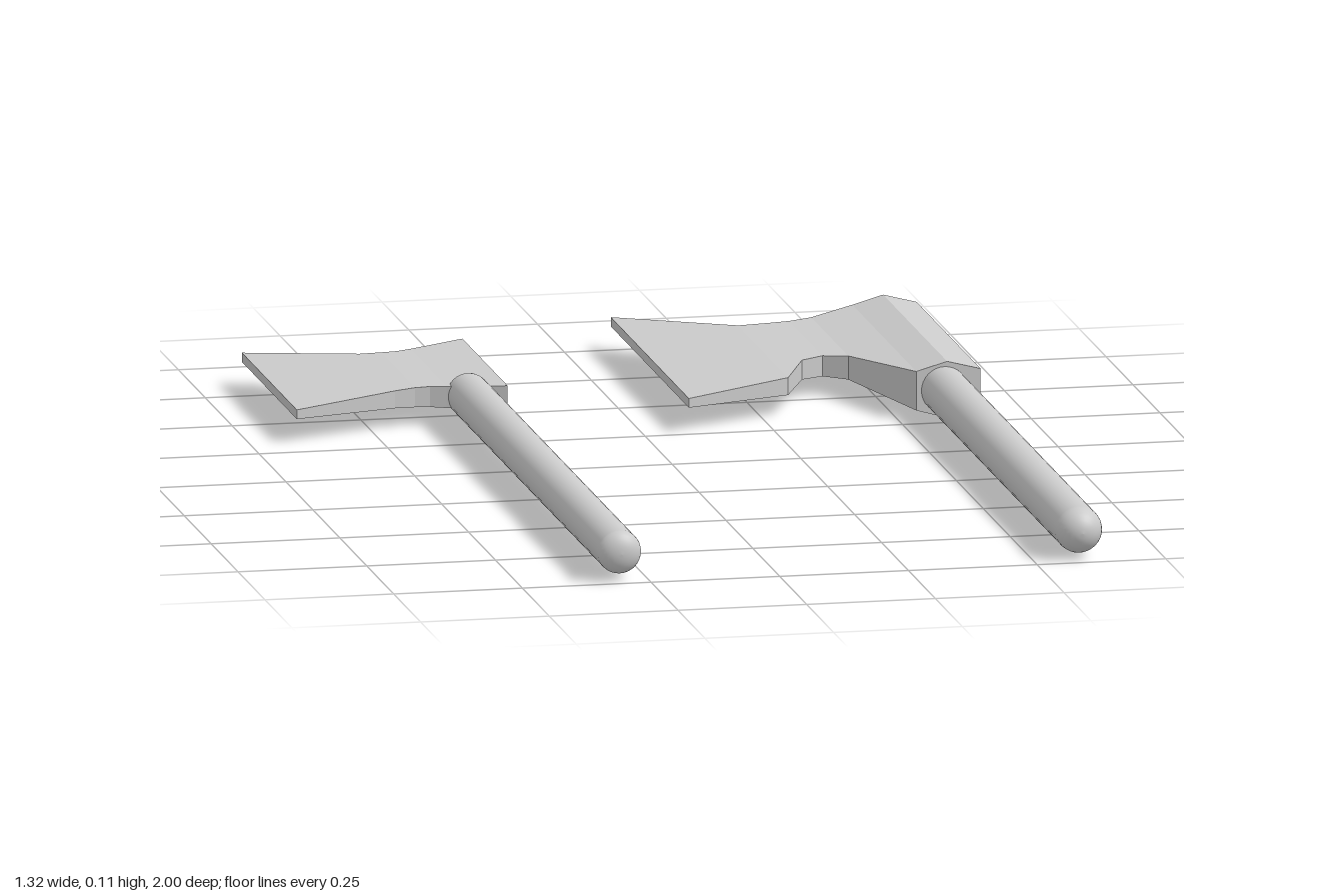
import * as THREE from 'three';

const MID = 0.057; // height of the plane both axes lie in
const material = new THREE.MeshStandardMaterial({ color: 0xcccccc });
const flatMaterial = new THREE.MeshStandardMaterial({ color: 0xcccccc, flatShading: true });

// Round bar along z with domed ends of the given depths
function makeHandle(name, x, zBack, zFront, radius, backDome, frontDome) {
  const points = [];
  const steps = 8;
  for (let i = 0; i <= steps; i++) {
    const a = (i / steps) * Math.PI / 2;
    points.push(new THREE.Vector2(radius * Math.sin(a), zBack + backDome * (1 - Math.cos(a))));
  }
  for (let i = steps; i >= 0; i--) {
    const a = (i / steps) * Math.PI / 2;
    points.push(new THREE.Vector2(radius * Math.sin(a), zFront - frontDome * (1 - Math.cos(a))));
  }
  const geometry = new THREE.LatheGeometry(points, 32).rotateX(Math.PI / 2);
  const mesh = new THREE.Mesh(geometry, material);
  mesh.name = name;
  mesh.position.set(x, MID, 0);
  return mesh;
}

// Loft of rectangular sections along x: [x, zBack, zFront, halfThickness]
function makeHead(name, sections) {
  const positions = [];
  const index = [];
  for (const [x, zb, zf, t] of sections) {
    positions.push(x, t, zb, x, t, zf, x, -t, zf, x, -t, zb);
  }
  for (let s = 0; s < sections.length - 1; s++) {
    for (let i = 0; i < 4; i++) {
      const a = s * 4 + i;
      const b = s * 4 + (i + 1) % 4;
      index.push(a, b, b + 4, a, b + 4, a + 4);
    }
  }
  const e = (sections.length - 1) * 4;
  index.push(0, 2, 1, 0, 3, 2, e, e + 1, e + 2, e, e + 2, e + 3);
  const geometry = new THREE.BufferGeometry();
  geometry.setAttribute('position', new THREE.Float32BufferAttribute(positions, 3));
  geometry.setIndex(index);
  const flat = geometry.toNonIndexed();
  flat.computeVertexNormals();
  const mesh = new THREE.Mesh(flat, flatMaterial);
  mesh.name = name;
  mesh.position.y = MID;
  return mesh;
}

export function createModel() {
  const model = new THREE.Group();
  model.name = 'axes';

  // Small axe: thin wedge head, handle end showing through it
  const smallAxe = new THREE.Group();
  smallAxe.name = 'smallAxe';
  smallAxe.add(
    makeHandle('smallHandle', -0.305, -0.47, 0.995, 0.042, 0.04, 0.028),
    makeHead('smallHead', [
      [-0.66, -0.84, -0.33, 0.009],
      [-0.45, -0.75, -0.42, 0.017],
      [-0.41, -0.745, -0.43, 0.019],
      [-0.38, -0.745, -0.43, 0.02],
      [-0.35, -0.755, -0.42, 0.021],
      [-0.24, -0.80, -0.38, 0.026]
    ])
  );

  // Large axe: bearded blade swelling into a faceted socket
  const largeAxe = new THREE.Group();
  largeAxe.name = 'largeAxe';
  largeAxe.add(
    makeHandle('largeHandle', 0.59, -0.86, 0.998, 0.045, 0.03, 0.045),
    makeHead('largeHead', [
      [0.09, -1.0, -0.275, 0.009],
      [0.305, -0.845, -0.38, 0.017],
      [0.36, -0.845, -0.515, 0.019],
      [0.405, -0.85, -0.54, 0.02],
      [0.45, -0.86, -0.515, 0.023],
      [0.535, -0.885, -0.29, 0.038],
      [0.595, -0.885, -0.29, 0.055],
      [0.66, -0.885, -0.29, 0.038]
    ])
  );

  model.add(smallAxe, largeAxe);
  return model;
}
